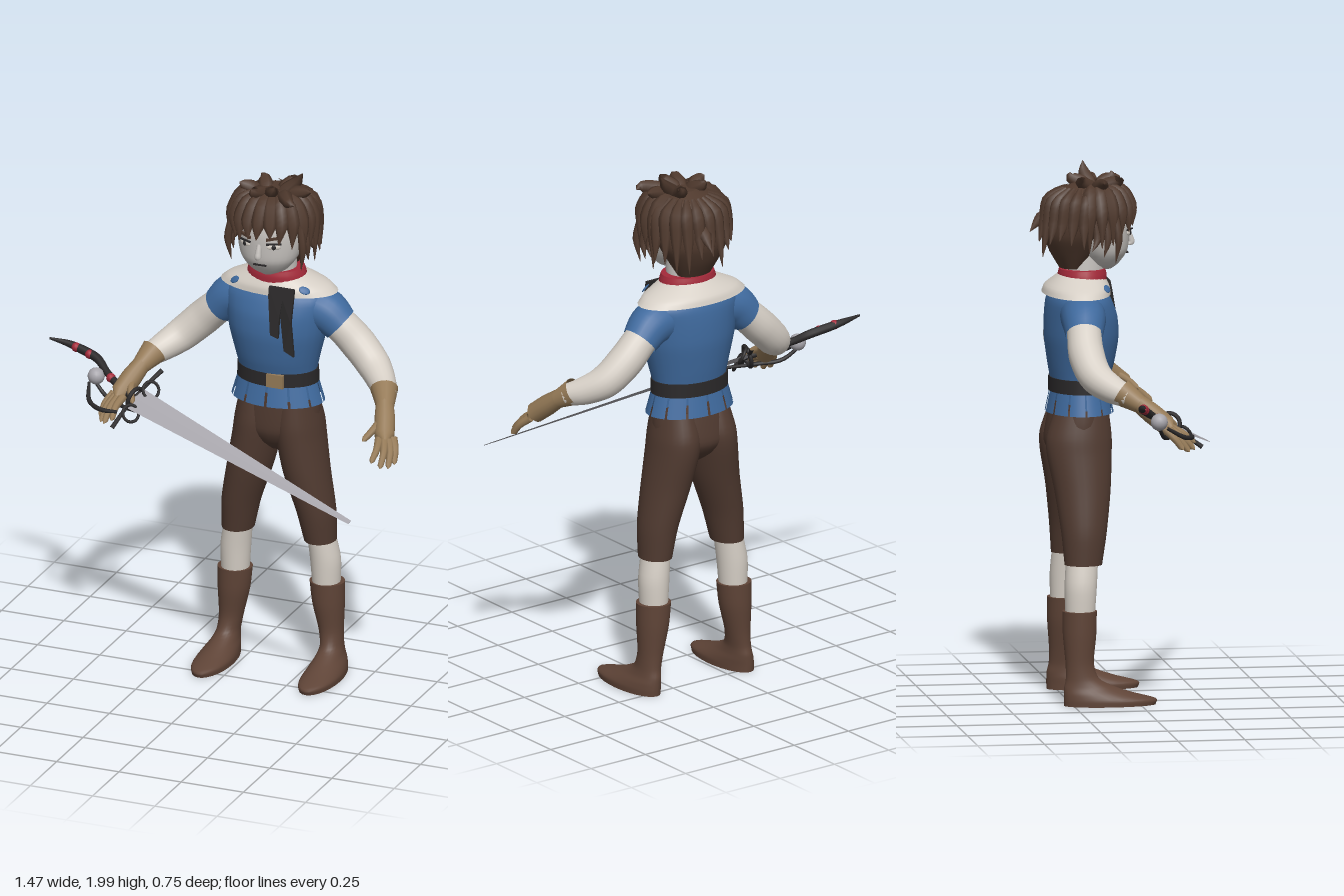
import * as THREE from 'three';

const mat = (name, color, side = THREE.FrontSide) => {
  const m = new THREE.MeshStandardMaterial({ color, side });
  m.name = name;
  return m;
};
const V = (a) => new THREE.Vector3(a[0], a[1], a[2]);

export function createModel() {
  const M = {
    linen: mat('linen', 0xd6cfc6, THREE.DoubleSide),
    skin: mat('skin', 0xc9c5c1),
    blue: mat('blueCloth', 0x3f6a9e, THREE.DoubleSide),
    hair: mat('hair', 0x4f392d),
    trousers: mat('trousers', 0x503a30),
    boots: mat('bootLeather', 0x5f4437),
    red: mat('redCloth', 0xa42a3a),
    tan: mat('tanLeather', 0x957a57, THREE.DoubleSide),
    black: mat('black', 0x2a2829),
    steel: mat('steel', 0xa6a4aa),
  };
  const model = new THREE.Group();
  const body = new THREE.Group();
  body.name = 'figure';
  body.position.x = 0.135;
  model.add(body);

  const add = (name, geo, material, parent = body) => {
    const m = new THREE.Mesh(geo, material);
    m.name = name;
    parent.add(m);
    return m;
  };

  // Upright loft through ellipses [x, y, z, rx, rz], listed from bottom to top
  const loft = (rows, caps = true, sides = 28, sub = 4) => {
    const path = new THREE.CatmullRomCurve3(rows.map(V), false, 'catmullrom', 0.4);
    const radii = new THREE.CatmullRomCurve3(rows.map((r) => V([r[3], r[4], 0])), false, 'catmullrom', 0.4);
    const n = (rows.length - 1) * sub;
    const pos = [], idx = [];
    const ring = (t, k) => {
      const c = path.getPoint(t), r = radii.getPoint(t);
      for (let j = 0; j < sides; j++) {
        const a = (j / sides) * Math.PI * 2;
        pos.push(c.x + Math.cos(a) * r.x * k, c.y, c.z + Math.sin(a) * r.y * k);
      }
    };
    const strip = (rings) => {
      const base = pos.length / 3;
      rings.forEach(([t, k]) => ring(t, k));
      for (let i = 0; i < rings.length - 1; i++)
        for (let j = 0; j < sides; j++) {
          const a = base + i * sides + j, b = base + i * sides + ((j + 1) % sides);
          idx.push(a, a + sides, b, b, a + sides, b + sides);
        }
    };
    strip(Array.from({ length: n + 1 }, (_, i) => [i / n, 1]));
    if (caps) {
      strip([[0, 0.001], [0, 1]]);
      strip([[1, 1], [1, 0.001]]);
    }
    const g = new THREE.BufferGeometry();
    g.setAttribute('position', new THREE.Float32BufferAttribute(pos, 3));
    g.setIndex(idx);
    g.computeVertexNormals();
    return g;
  };

  // Tube whose radius follows the fourth number of each point
  const taper = (pts, sides = 10, sub = 5) => {
    const curve = new THREE.CatmullRomCurve3(pts.map(V));
    const n = (pts.length - 1) * sub;
    const g = new THREE.TubeGeometry(curve, n, 1, sides, false);
    const p = g.attributes.position, v = new THREE.Vector3();
    for (let i = 0; i <= n; i++) {
      const u = i / n, c = curve.getPointAt(u);
      const f = curve.getUtoTmapping(u) * (pts.length - 1);
      const k = Math.min(Math.floor(f), pts.length - 2);
      const r = THREE.MathUtils.lerp(pts[k][3], pts[k + 1][3], f - k);
      for (let j = 0; j <= sides; j++) {
        const q = i * (sides + 1) + j;
        v.fromBufferAttribute(p, q).sub(c).multiplyScalar(r).add(c);
        p.setXYZ(q, v.x, v.y, v.z);
      }
    }
    return g;
  };

  // Torso, pelvis and neck
  add('tunic', loft([[0, 1.1, -0.195, 0.152, 0.105], [0, 1.18, -0.195, 0.147, 0.104], [0, 1.26, -0.19, 0.163, 0.122],
    [0, 1.36, -0.188, 0.188, 0.137], [0, 1.44, -0.19, 0.2, 0.134], [0, 1.5, -0.197, 0.205, 0.12],
    [0, 1.54, -0.2, 0.17, 0.1], [0, 1.58, -0.195, 0.09, 0.07]]), M.blue);
  add('pelvis', loft([[0, 0.88, -0.2, 0.03, 0.04], [0, 0.92, -0.205, 0.1, 0.09], [0, 0.97, -0.208, 0.155, 0.118],
    [0, 1.04, -0.203, 0.16, 0.115], [0, 1.13, -0.195, 0.148, 0.104]]), M.trousers);
  add('neck', loft([[0, 1.52, -0.185, 0.08, 0.075], [0, 1.7, -0.17, 0.075, 0.075]]), M.skin);
  add('collar', loft([[0, 1.525, -0.207, 0.23, 0.125], [0, 1.553, -0.203, 0.195, 0.118], [0, 1.595, -0.19, 0.1, 0.085]], false), M.linen);
  add('neckerchief', loft([[0, 1.57, -0.184, 0.118, 0.09], [0, 1.595, -0.184, 0.112, 0.09], [0, 1.615, -0.184, 0.105, 0.085]]), M.red);

  // Tunic skirt panels, belt and buckle
  const panels = 12;
  for (let i = 0; i < panels; i++) {
    const step = (Math.PI * 2) / panels;
    const g = new THREE.CylinderGeometry(0.155, 0.18, 0.085, 5, 1, true, i * step + 0.03, step - 0.06);
    g.scale(1, 1, 0.7).translate(0, 1.125, -0.195);
    add('skirtPanel', g, M.blue);
  }
  add('belt', new THREE.CylinderGeometry(0.157, 0.159, 0.052, 32).scale(1, 1, 0.72).translate(0, 1.187, -0.195), M.black);
  add('buckle', new THREE.BoxGeometry(0.066, 0.052, 0.014).translate(0.035, 1.187, -0.082), M.tan);

  // Hanging scarf tails
  const tail = (pts) => {
    const g = new THREE.ExtrudeGeometry(new THREE.Shape(pts.map(([x, y]) => new THREE.Vector2(x, y))), { depth: 0.012, bevelEnabled: false });
    const p = g.attributes.position;
    for (let i = 0; i < p.count; i++) p.setZ(i, p.getZ(i) - 0.055 - Math.max(0, p.getY(i) - 1.4) * 0.2);
    g.computeVertexNormals();
    add('scarfTail', g, M.black);
  };
  tail([[0.012, 1.565], [0.012, 1.53], [0.03, 1.385], [0.062, 1.375], [0.062, 1.45], [0.075, 1.565]]);
  tail([[0.05, 1.565], [0.062, 1.48], [0.085, 1.33], [0.125, 1.31], [0.11, 1.44], [0.113, 1.565]]);

  for (const s of [-1, 1]) {
    const side = s > 0 ? 'left' : 'right';
    const mx = (rows) => rows.map(([x, ...r]) => [x * s, ...r]);
    const spot = add('collarSpot', new THREE.SphereGeometry(1, 12, 8).scale(0.022, 0.015, 0.004), M.blue);
    spot.position.set(0.14 * s, 1.555, -0.112);
    spot.rotation.set(-0.8, 0.5 * s, 0);

    // Leg, stocking and boot
    add(side + 'TrouserLeg', loft(mx([[0.165, 0.53, -0.205, 0.06, 0.07], [0.149, 0.65, -0.2, 0.073, 0.085],
      [0.112, 0.8, -0.2, 0.086, 0.105], [0.088, 0.93, -0.208, 0.089, 0.121], [0.08, 1.0, -0.208, 0.087, 0.122],
      [0.075, 1.1, -0.197, 0.07, 0.1]])), M.trousers);
    add(side + 'Stocking', loft(mx([[0.183, 0.34, -0.22, 0.052, 0.055], [0.18, 0.45, -0.217, 0.057, 0.06], [0.166, 0.55, -0.21, 0.052, 0.06]])), M.linen);
    add(side + 'Boot', loft(mx([[0.215, 0.01, -0.113, 0.068, 0.171], [0.215, 0.032, -0.113, 0.068, 0.172],
      [0.213, 0.055, -0.155, 0.059, 0.13], [0.21, 0.078, -0.188, 0.048, 0.096], [0.207, 0.11, -0.215, 0.042, 0.062],
      [0.2, 0.17, -0.224, 0.046, 0.053], [0.19, 0.27, -0.223, 0.06, 0.062], [0.185, 0.36, -0.222, 0.066, 0.064]])), M.boots);

    // Short blue sleeve over a linen arm
    add(side + 'Sleeve', taper(mx([[0.07, 1.47, -0.2, 0.06], [0.13, 1.462, -0.203, 0.085], [0.19, 1.445, -0.207, 0.083], [0.242, 1.398, -0.213, 0.069]]), 20), M.blue);
    add(side + 'Arm', taper(mx([[0.18, 1.44, -0.21, 0.06], [0.24, 1.4, -0.213, 0.064], [0.31, 1.335, -0.215, 0.067],
      [0.385, 1.265, -0.192, 0.063], [0.44, 1.225, -0.14, 0.053], [0.482, 1.2, -0.08, 0.04]]), 20), M.linen);

    // Glove with cuff, palm and fingers
    add(side + 'GloveCuff', taper(mx([[0.462, 1.217, -0.108, 0.052], [0.478, 1.195, -0.075, 0.042], [0.492, 1.175, -0.045, 0.034]]), 16), M.tan);
    add(side + 'Palm', taper(mx([[0.486, 1.185, -0.055, 0.033], [0.508, 1.145, -0.005, 0.039], [0.53, 1.1, 0.05, 0.038], [0.542, 1.08, 0.075, 0.001]]), 14), M.tan);
    const fingers = [[0.56, 1.09, 0.04, 0.592, 1.015, 0.105], [0.55, 1.085, 0.055, 0.578, 1.005, 0.13],
      [0.535, 1.085, 0.065, 0.555, 1.01, 0.153], [0.515, 1.09, 0.065, 0.522, 1.03, 0.16], [0.5, 1.14, 0.015, 0.462, 1.085, 0.1]];
    for (const [x, y, z, a, b, c] of fingers)
      add(side + 'Finger', taper(mx([[x, y, z, 0.017], [(x + a) / 2 + 0.006, (y + b) / 2 + 0.006, (z + c) / 2, 0.014],
        [x + (a - x) * 0.92, y + (b - y) * 0.92, z + (c - z) * 0.92, 0.011], [a, b, c, 0.001]]), 8, 3), M.tan);

    // Eye, iris and brow
    const eye = new THREE.Group();
    eye.name = side + 'Eye';
    eye.position.set(0.057 * s, 1.752, -0.016);
    eye.rotation.y = 0.45 * s;
    body.add(eye);
    add('eyeWhite', new THREE.SphereGeometry(1, 16, 8).scale(0.026, 0.011, 0.005), M.linen, eye);
    add('iris', new THREE.SphereGeometry(1, 12, 8).scale(0.009, 0.01, 0.004).translate(0, 0, 0.003), M.black, eye);
    add('lash', new THREE.BoxGeometry(0.056, 0.005, 0.008).translate(0, 0.012, 0.001), M.black, eye);
    add('brow', new THREE.BoxGeometry(0.058, 0.009, 0.009).rotateZ(0.15 * s).translate(0, 0.034, 0.001), M.hair, eye);
  }

  // Head and face
  add('head', loft([[0, 1.612, -0.1, 0.025, 0.025], [0, 1.635, -0.107, 0.072, 0.06], [0, 1.68, -0.112, 0.107, 0.095],
    [0, 1.74, -0.13, 0.125, 0.122], [0, 1.8, -0.135, 0.128, 0.13], [0, 1.86, -0.14, 0.115, 0.12], [0, 1.91, -0.15, 0.05, 0.06]]), M.skin);
  add('nose', taper([[0, 1.76, -0.015, 0.008], [0, 1.725, -0.004, 0.012], [0, 1.708, -0.001, 0.014], [0, 1.697, -0.012, 0.001]], 10), M.skin);
  add('mouth', new THREE.BoxGeometry(0.05, 0.005, 0.008).translate(0, 1.672, -0.018), M.black);

  // Hair: a full cap, then tapering locks
  add('hairCap', loft([[0, 1.62, -0.225, 0.07, 0.045], [0, 1.68, -0.22, 0.105, 0.085], [0, 1.74, -0.215, 0.138, 0.112],
    [0, 1.8, -0.19, 0.152, 0.14], [0, 1.86, -0.178, 0.145, 0.142], [0, 1.905, -0.17, 0.11, 0.11], [0, 1.935, -0.17, 0.04, 0.04]]), M.hair);
  const lock = (pts) => add('hairLock', taper(pts, 7, 4), M.hair);
  let seed = 7;
  const rnd = () => (seed = (seed * 16807) % 2147483647) / 2147483647;
  for (let i = 0; i < 13; i++) {
    // fringe fanning round the forehead, longer at the temples
    const t = i / 6 - 1, a = t * 1.75, sx = Math.sin(a), cz = Math.cos(a);
    const end = 1.81 - 0.12 * Math.abs(t) ** 1.5 - rnd() * 0.04;
    lock([[sx * 0.05, 1.925, -0.15 + cz * 0.04, 0.012], [sx * 0.115, 1.9, -0.15 + cz * 0.11, 0.03],
      [sx * 0.15, 1.84, -0.15 + cz * 0.145, 0.028], [sx * 0.152 + rnd() * 0.02 - 0.01, end, -0.15 + cz * 0.155, 0.001]]);
  }
  for (let i = 0; i < 11; i++) {
    // layered locks over the sides and back
    const a = 1.7 + (i / 10) * 2.88, sx = Math.sin(a), cz = Math.cos(a), drop = rnd() * 0.1;
    lock([[sx * 0.08, 1.915, -0.17 + cz * 0.08, 0.01], [sx * 0.14, 1.87, -0.17 + cz * 0.135, 0.028],
      [sx * 0.155, 1.79, -0.18 + cz * 0.145, 0.022], [sx * 0.165, 1.75 - drop, -0.18 + cz * 0.165, 0.001]]);
  }
  for (const s of [-1, 1])
    for (let k = 0; k < 3; k++)
      lock([[s * 0.135, 1.83, -0.08 - k * 0.04, 0.014], [s * 0.15, 1.74, -0.07 - k * 0.04, 0.015], [s * (0.14 + k * 0.01), 1.65 + k * 0.025, -0.08 - k * 0.045, 0.001]]);
  const tufts = [[0.03, 0.11, 2.0, -0.165], [0.07, 0.155, 1.94, -0.14], [0, 0.04, 1.97, -0.07], [-0.06, -0.125, 1.945, -0.12],
    [-0.02, -0.05, 1.955, -0.05], [0.05, 0.13, 1.92, -0.04], [-0.03, -0.07, 1.96, -0.2], [0.03, 0.06, 1.965, -0.22]];
  for (const [x, a, y, z] of tufts)
    lock([[x, 1.89, -0.14, 0.015], [x + (a - x) * 0.25, 1.925, (z - 0.14) / 2, 0.032], [x + (a - x) * 0.75, 1.935 + (y - 1.935) * 0.5, z, 0.02], [a, y, z, 0.001]]);
  lock([[0.02, 1.84, -0.28, 0.015], [0.03, 1.8, -0.335, 0.025], [0.03, 1.75, -0.375, 0.001]]);

  // Sword: local y runs along the blade, x across its width
  const sword = new THREE.Group();
  sword.name = 'sword';
  model.add(sword);
  const d = new THREE.Vector3(0.99, -0.22, 0.3), length = d.length();
  d.normalize();
  const w = new THREE.Vector3(0.35, 0.54, -0.77);
  w.addScaledVector(d, -w.dot(d)).normalize();
  const bladeGroup = new THREE.Group();
  bladeGroup.name = 'bladeAndGuard';
  bladeGroup.applyMatrix4(new THREE.Matrix4().makeBasis(w, d, w.clone().cross(d)).setPosition(-0.33, 1.095, 0.07));
  sword.add(bladeGroup);
  const blade = new THREE.CylinderGeometry(0.009, 0.05, length, 4).rotateY(Math.PI / 2).scale(1, 1, 0.14).translate(0, length / 2, 0).toNonIndexed();
  blade.computeVertexNormals();
  add('blade', blade, M.steel, bladeGroup);
  add('crossGuard', taper([[-0.15, 0.01, 0, 0.009], [-0.06, 0, 0, 0.007], [0.06, 0, 0, 0.007], [0.15, 0.01, 0, 0.009]], 8), M.black, bladeGroup);
  add('guardRing', new THREE.TorusGeometry(0.04, 0.008, 8, 20).rotateX(Math.PI / 2), M.black, bladeGroup);
  for (const s of [-1, 1])
    add('sideRing', new THREE.TorusGeometry(0.032, 0.006, 8, 18).rotateX(0.8).translate(0.06 * s, 0.03, 0), M.black, bladeGroup);

  // Curved grip, ball, knuckle bows and red wrapping
  add('grip', taper([[-0.33, 1.095, 0.07, 0.014], [-0.41, 1.12, 0.035, 0.015], [-0.475, 1.145, -0.01, 0.014], [-0.53, 1.175, -0.05, 0.017],
    [-0.6, 1.192, -0.07, 0.017], [-0.66, 1.203, -0.08, 0.013], [-0.735, 1.212, -0.08, 0.004]], 10), M.black, sword);
  add('gripBall', new THREE.SphereGeometry(0.032, 16, 12).translate(-0.512, 1.13, 0.005), M.steel, sword);
  add('knuckleBow', taper([[-0.53, 1.11, 0.03, 0.006], [-0.5, 1.07, 0.1, 0.009], [-0.44, 1.06, 0.14, 0.009], [-0.37, 1.06, 0.14, 0.006]], 8), M.black, sword);
  add('lowerBow', taper([[-0.53, 1.12, 0.0, 0.006], [-0.46, 1.065, 0.03, 0.008], [-0.38, 1.055, 0.07, 0.008], [-0.25, 1.055, 0.11, 0.006]], 8), M.black, sword);
  for (const [x, y, z] of [[-0.45, 1.135, 0.01], [-0.565, 1.184, -0.06], [-0.625, 1.197, -0.074]])
    add('redWrap', new THREE.SphereGeometry(0.018, 10, 8).translate(x, y, z).translate(0, 0, 0.002), M.red, sword);

  return model;
}
